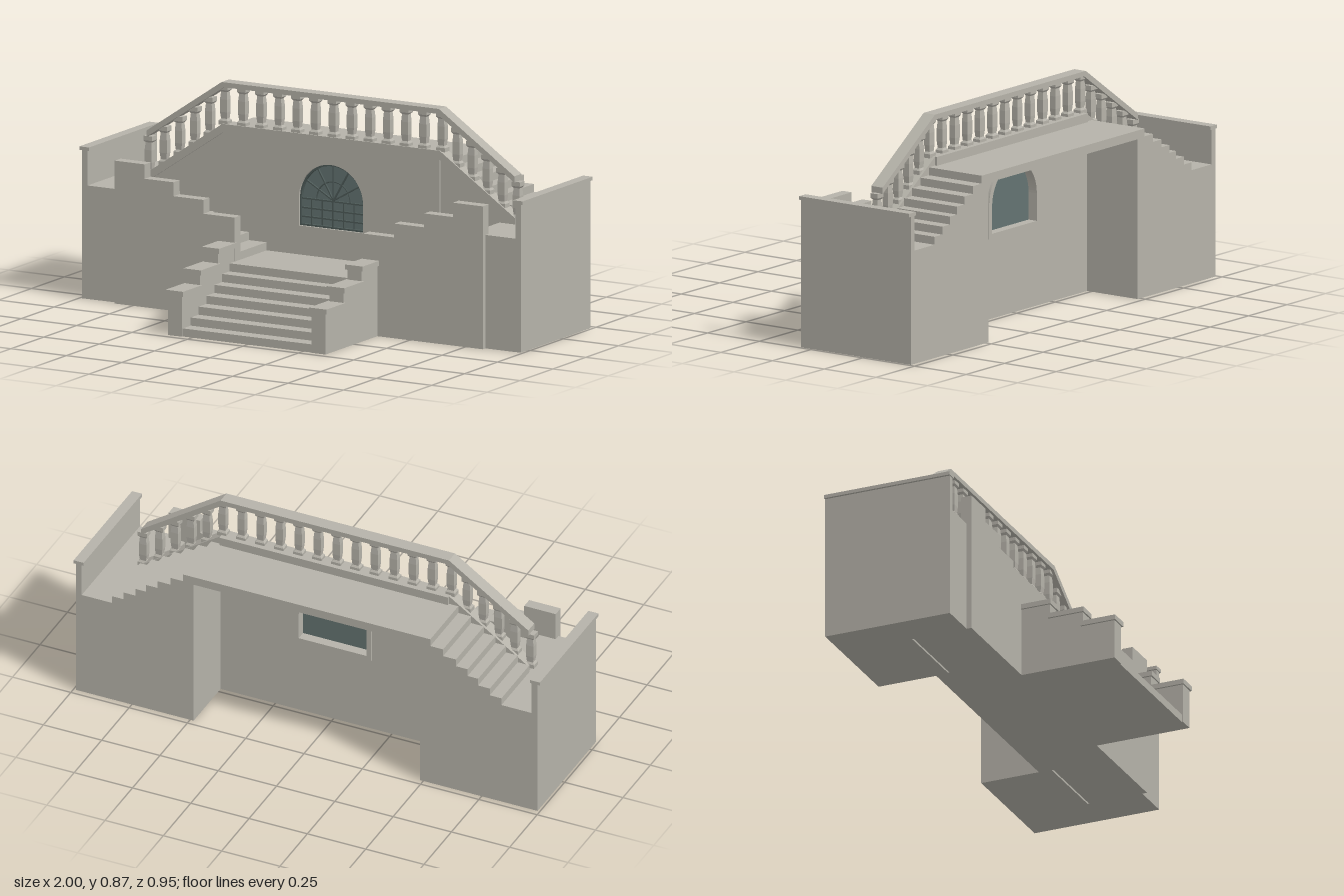
import * as THREE from 'three';

const stone = new THREE.MeshStandardMaterial({ color: 0xb5b2a9 });
stone.name = 'stone';
stone.flatShading = true;
const glass = new THREE.MeshStandardMaterial({ color: 0x637371 });
glass.name = 'glass';
const iron = new THREE.MeshStandardMaterial({ color: 0x4d5a58 });
iron.name = 'windowBars';

export function createModel() {
  const root = new THREE.Group();
  root.name = 'stairTerrace';

  const add = (name, geo, mat = stone) => {
    const m = new THREE.Mesh(geo, mat);
    m.name = name;
    root.add(m);
    return m;
  };
  const box = (name, x0, x1, y0, y1, z0, z1, mat) =>
    add(name, new THREE.BoxGeometry(x1 - x0, y1 - y0, z1 - z0), mat)
      .position.set((x0 + x1) / 2, (y0 + y1) / 2, (z0 + z1) / 2);
  const shapeOf = pts => new THREE.Shape(pts.map(p => new THREE.Vector2(p[0], p[1])));
  const slab = (name, shape, z0, z1, mat) => {
    const g = new THREE.ExtrudeGeometry(shape, { depth: z1 - z0, bevelEnabled: false, curveSegments: 24 });
    g.translate(0, 0, z0);
    return add(name, g, mat);
  };
  // Completes a right-hand outline with its mirror image
  const mirrored = pts => shapeOf([...pts, ...pts.slice().reverse().map(p => [-p[0], p[1]])]);

  // Rear block: platform over a niche, with flights running down to both ends
  const rear = [[0.485, 0.635], [0.485, 0], [0.99, 0], [0.99, 0.45]];
  const rearEdges = [0.835, 0.785, 0.735, 0.69, 0.64, 0.585, 0.53];
  const rearRise = 0.22 / 7;
  rearEdges.forEach((x, i) => rear.push([x, 0.45 + rearRise * i], [x, 0.45 + rearRise * (i + 1)]));
  slab('upperStairsAndPlatform', mirrored(rear), -0.475, -0.22);

  // Front block: flights running from the end landings down to the centre landing
  const front = [[0.99, 0], [0.99, 0.45]];
  const frontEdges = [0.76, 0.68, 0.6, 0.525, 0.445, 0.37, 0.29];
  const frontRise = 0.225 / 7;
  frontEdges.forEach((x, i) => front.push([x, 0.45 - frontRise * i], [x, 0.45 - frontRise * (i + 1)]));
  slab('lowerStairsAndLanding', mirrored(front), -0.17, 0.055);

  // Central wall with an arched opening
  const arch = (r, y0) => {
    const p = new THREE.Shape();
    p.moveTo(-r, y0);
    p.lineTo(r, y0);
    p.lineTo(r, 0.45);
    p.absarc(0, 0.45, r, 0, Math.PI, false);
    p.closePath();
    return p;
  };
  const wall = shapeOf([[-0.49, 0], [0.49, 0], [0.49, 0.705], [-0.49, 0.705]]);
  wall.holes.push(arch(0.145, 0.34));
  slab('archedWall', wall, -0.23, -0.17);

  // Window panes, bars and rear surround
  slab('windowPane', arch(0.145, 0.34), -0.2, -0.194, glass);
  const rim = arch(0.145, 0.34);
  rim.holes.push(arch(0.138, 0.347));
  slab('windowRim', rim, -0.194, -0.18, iron);
  const surround = arch(0.165, 0.32);
  surround.holes.push(arch(0.145, 0.34));
  slab('rearSurround', surround, -0.24, -0.229);
  for (const y of [0.375, 0.41, 0.447]) box('crossBar', -0.14, 0.14, y - 0.003, y + 0.003, -0.194, -0.184, iron);
  for (let i = -2; i <= 2; i++) box('uprightBar', i * 0.048 - 0.003, i * 0.048 + 0.003, 0.345, 0.447, -0.194, -0.184, iron);
  const arc = new THREE.TorusGeometry(0.075, 0.003, 4, 20, Math.PI);
  add('archBar', arc, iron).position.set(0, 0.45, -0.19);
  for (let i = 1; i <= 5; i++) {
    const a = (i * Math.PI) / 6;
    const bar = add('radialBar', new THREE.BoxGeometry(0.14, 0.005, 0.008), iron);
    bar.position.set(0.07 * Math.cos(a), 0.45 + 0.07 * Math.sin(a), -0.19);
    bar.rotation.z = a;
  }

  for (const s of [-1, 1]) {
    const side = pts => shapeOf(pts.map(p => [p[0] * s, p[1]]));
    const span = (name, x0, x1, ...r) => box(name, Math.min(s * x0, s * x1), Math.max(s * x0, s * x1), ...r);

    // Sloped wall and kerb beneath the raking balustrade
    slab('slopedWall', side([[0.485, 0], [0.83, 0], [0.83, 0.44], [0.485, 0.673]]), -0.22, -0.177);
    slab('slopedKerb', side([[0.49, 0.67], [0.83, 0.44], [0.83, 0.475], [0.49, 0.705]]), -0.22, -0.17);
    span('endLandingInfill', 0.83, 0.99, 0, 0.45, -0.22, -0.17);

    // End parapet and coping
    span('endParapet', 0.965, 0.99, 0.45, 0.59, -0.475, 0.055);
    span('endCoping', 0.957, 1, 0.588, 0.602, -0.475, 0.058);

    // Stepped wall hiding the lower flight
    slab('steppedWall', side([[0.29, 0], [0.83, 0], [0.83, 0.567], [0.695, 0.567], [0.695, 0.51],
      [0.565, 0.51], [0.565, 0.455], [0.43, 0.455], [0.43, 0.4], [0.29, 0.4]]), 0.03, 0.075);

    // Three stepped pedestals beside the entrance steps
    [[0.335, 0.47, 0.16], [0.195, 0.335, 0.22], [0.07, 0.195, 0.28]].forEach(([z0, z1, h]) => {
      span('pedestal', 0.292, 0.355, 0, h, z0, z1);
      span('pedestalCap', 0.284, 0.363, h, h + 0.02, z0 - 0.006, z1 + 0.006);
    });
  }

  // Entrance steps
  const zEdges = [0.465, 0.405, 0.345, 0.285, 0.225, 0.165, 0.11];
  zEdges.forEach((z, i) => box('entranceStep', -0.293, 0.293, 0.225 * i / 7, 0.225 * (i + 1) / 7, 0.05, z));

  // Handrail
  const rail = mirrored([[0.48, 0.852], [0.83, 0.617], [0.83, 0.642], [0.49, 0.872]]);
  slab('handrail', rail, -0.22, -0.165);

  // Square turned balusters, level in the middle and raking at the ends
  const profile = [[0, 0], [0.02, 0], [0.02, 0.016], [0.013, 0.024], [0.016, 0.05],
    [0.016, 0.1], [0.013, 0.13], [0.02, 0.138], [0.02, 0.156], [0, 0.156]]
    .map(([w, y]) => new THREE.Vector2(w * Math.SQRT2, y));
  const baluster = new THREE.LatheGeometry(profile, 4);
  baluster.rotateY(Math.PI / 4);
  baluster.scale(1, 1, 0.85);
  const place = (x, y) => add('baluster', baluster).position.set(x, y, -0.193);
  for (let i = -6; i <= 6; i++) place(i * 0.49 / 6, 0.7);
  for (let i = 1; i <= 5; i++) {
    const d = i * 0.068;
    for (const s of [-1, 1]) place(s * (0.49 + d), 0.7 - d * 0.676 - 0.008);
  }
  return root;
}
